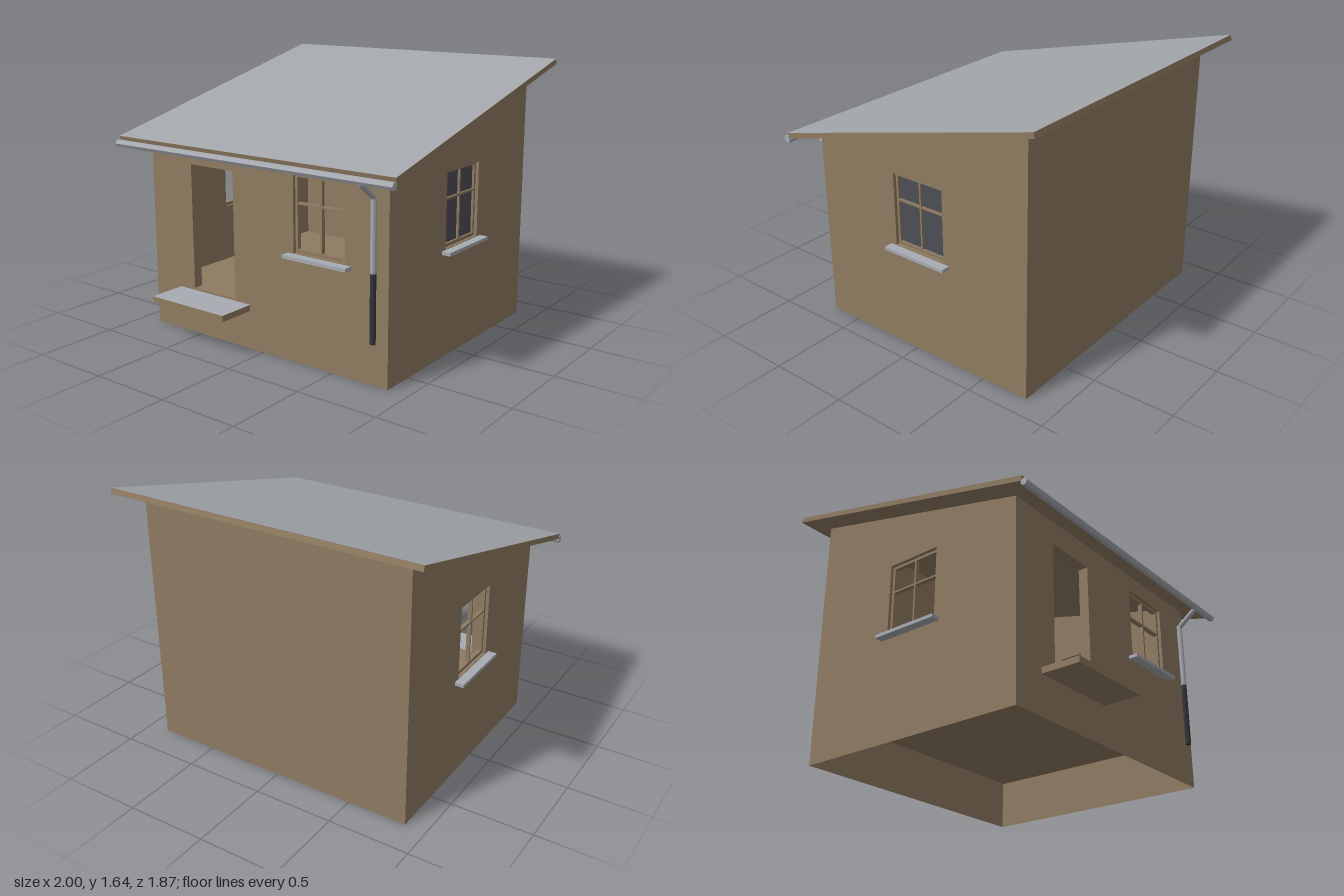
import * as THREE from 'three';

const D = THREE.DoubleSide;
const brown = new THREE.MeshStandardMaterial({ color: 0x8f7b61, side: D, name: 'brown timber' });
const roofGrey = new THREE.MeshStandardMaterial({ color: 0xa2a6ab, name: 'roof grey' });
const metal = new THREE.MeshStandardMaterial({ color: 0xa8abb2, name: 'light metal' });
const dark = new THREE.MeshStandardMaterial({ color: 0x343437, name: 'dark pipe' });
const glass = new THREE.MeshStandardMaterial({ color: 0x4d4d56, name: 'dark glass' });

const W = 0.87, FRONT = 0.70, BACK = -0.80, T = 0.06, FLOOR = 0.285;
const roofY = z => 1.197 + (FRONT - z) * 0.251; // underside of the roof

function add(parent, name, geometry, material, x = 0, y = 0, z = 0) {
  const m = new THREE.Mesh(geometry, material);
  m.name = name;
  m.position.set(x, y, z);
  parent.add(m);
  return m;
}

const rect = (Type, x0, x1, y0, y1) => new Type([
  [x0, y0], [x1, y0], [x1, y1], [x0, y1]].map(p => new THREE.Vector2(...p)));

// Open rectangular tube lining an opening through the wall
function lining(w, h) {
  const g = new THREE.CylinderGeometry(Math.SQRT1_2, Math.SQRT1_2, T, 4, 1, true);
  g.rotateY(Math.PI / 4).rotateX(Math.PI / 2).scale(w, h, 1);
  const flat = g.toNonIndexed();
  flat.computeVertexNormals();
  return flat;
}

// Outer skin down to the ground, inner skin down to the floor; local +z is outward
function wall(parent, name, u0, u1, h0, h1, openings = []) {
  const g = new THREE.Group();
  g.name = name;
  parent.add(g);
  const skin = (a, b, bottom, z, label) => {
    const h = u => h0 + (h1 - h0) * (u - u0) / (u1 - u0);
    const s = new THREE.Shape([[a, bottom], [b, bottom], [b, h(b)], [a, h(a)]]
      .map(p => new THREE.Vector2(...p)));
    for (const o of openings) s.holes.push(rect(THREE.Path, ...o));
    add(g, label, new THREE.ShapeGeometry(s), brown, 0, 0, z);
  };
  skin(u0, u1, 0, 0, 'outerSkin');
  skin(u0 + T, u1 - T, FLOOR - 0.005, -T, 'innerSkin');
  for (const [a, b, c, d] of openings)
    add(g, 'openingLining', lining(b - a, d - c), brown, (a + b) / 2, (c + d) / 2, -T / 2);
  return g;
}

const windowOpening = u => [u - 0.178, u + 0.178, 0.645, 1.092];

// Four-pane window with a projecting sill
function windowParts(parent, u, glazed) {
  const s = rect(THREE.Shape, ...windowOpening(u));
  for (const [a, b] of [[-0.162, -0.006], [0.006, 0.162]])
    for (const [c, d] of [[0.665, 0.92], [0.932, 1.075]])
      s.holes.push(rect(THREE.Path, u + a, u + b, c, d));
  add(parent, 'windowFrame',
    new THREE.ExtrudeGeometry(s, { depth: 0.025, bevelEnabled: false }), brown, 0, 0, -0.045);
  if (glazed) add(parent, 'windowGlass', new THREE.PlaneGeometry(0.33, 0.42), glass, u, 0.87, -0.034);
  add(parent, 'windowSill', new THREE.BoxGeometry(0.435, 0.02, 0.075), metal, u, 0.631, 0.0175);
}

// Straight pipe between two points
function pipe(parent, name, a, b, r, material, sides = 8) {
  const va = new THREE.Vector3(...a), vb = new THREE.Vector3(...b);
  const dir = vb.clone().sub(va);
  const m = add(parent, name, new THREE.CylinderGeometry(r, r, dir.length(), sides), material);
  m.position.copy(va).add(vb).multiplyScalar(0.5);
  m.quaternion.setFromUnitVectors(new THREE.Vector3(0, 1, 0), dir.normalize());
}

export function createModel() {
  const model = new THREE.Group();
  model.name = 'shed';

  // Front wall with doorway and window
  const front = wall(model, 'frontWall', -W, W, roofY(FRONT), roofY(FRONT),
    [[-0.545, -0.213, FLOOR, 1.052], windowOpening(0.4125)]);
  front.position.z = FRONT;
  windowParts(front, 0.4125, false);

  // Back wall
  const back = wall(model, 'backWall', -W, W, roofY(BACK), roofY(BACK));
  back.position.z = BACK;
  back.rotation.y = Math.PI;

  // Side walls, each with a window
  for (const s of [1, -1]) {
    const ends = [-s * FRONT, -s * BACK].sort((a, b) => a - b);
    const u = s * 0.0475;
    const side = wall(model, s > 0 ? 'leftWall' : 'rightWall', ends[0], ends[1],
      roofY(-s * ends[0]), roofY(-s * ends[1]), [windowOpening(u)]);
    side.position.x = s * W;
    side.rotation.y = s * Math.PI / 2;
    windowParts(side, u, s > 0);
  }

  // Raised floor
  const floor = new THREE.PlaneGeometry(2 * (W - T), FRONT - BACK - 2 * T).rotateX(-Math.PI / 2);
  add(model, 'floor', floor, brown, 0, FLOOR, (FRONT + BACK) / 2);

  // Sloping roof slab with a grey top
  const roof = new THREE.Group();
  roof.name = 'roof';
  roof.position.set(0, 1.4005, -0.046);
  roof.rotation.x = Math.atan(0.251);
  model.add(roof);
  add(roof, 'roofSlab', new THREE.BoxGeometry(2, 0.032, 1.822), brown);
  add(roof, 'roofCovering', new THREE.PlaneGeometry(2, 1.822).rotateX(-Math.PI / 2), roofGrey, 0, 0.0175, 0);

  // Doorstep with a grey top
  add(model, 'doorstep', new THREE.BoxGeometry(0.565, 0.036, 0.235), brown, -0.38, 0.252, 0.8175);
  add(model, 'doorstepTop', new THREE.PlaneGeometry(0.565, 0.235).rotateX(-Math.PI / 2), metal, -0.38, 0.2715, 0.8175);

  // Gutter along the eaves
  const gutter = new THREE.CylinderGeometry(0.023, 0.023, 2, 6).toNonIndexed();
  gutter.rotateZ(Math.PI / 2);
  gutter.computeVertexNormals();
  add(model, 'gutter', gutter, metal, 0, 1.153, 0.853);

  // Downpipe: slanted neck, upper and lower lengths
  pipe(model, 'downpipeNeck', [0.79, 1.14, 0.848], [0.79, 1.045, 0.727], 0.016, metal);
  pipe(model, 'downpipeUpper', [0.79, 1.052, 0.727], [0.79, 0.64, 0.727], 0.017, metal);
  pipe(model, 'downpipeLower', [0.79, 0.64, 0.727], [0.79, 0.25, 0.727], 0.017, dark);

  return model;
}
